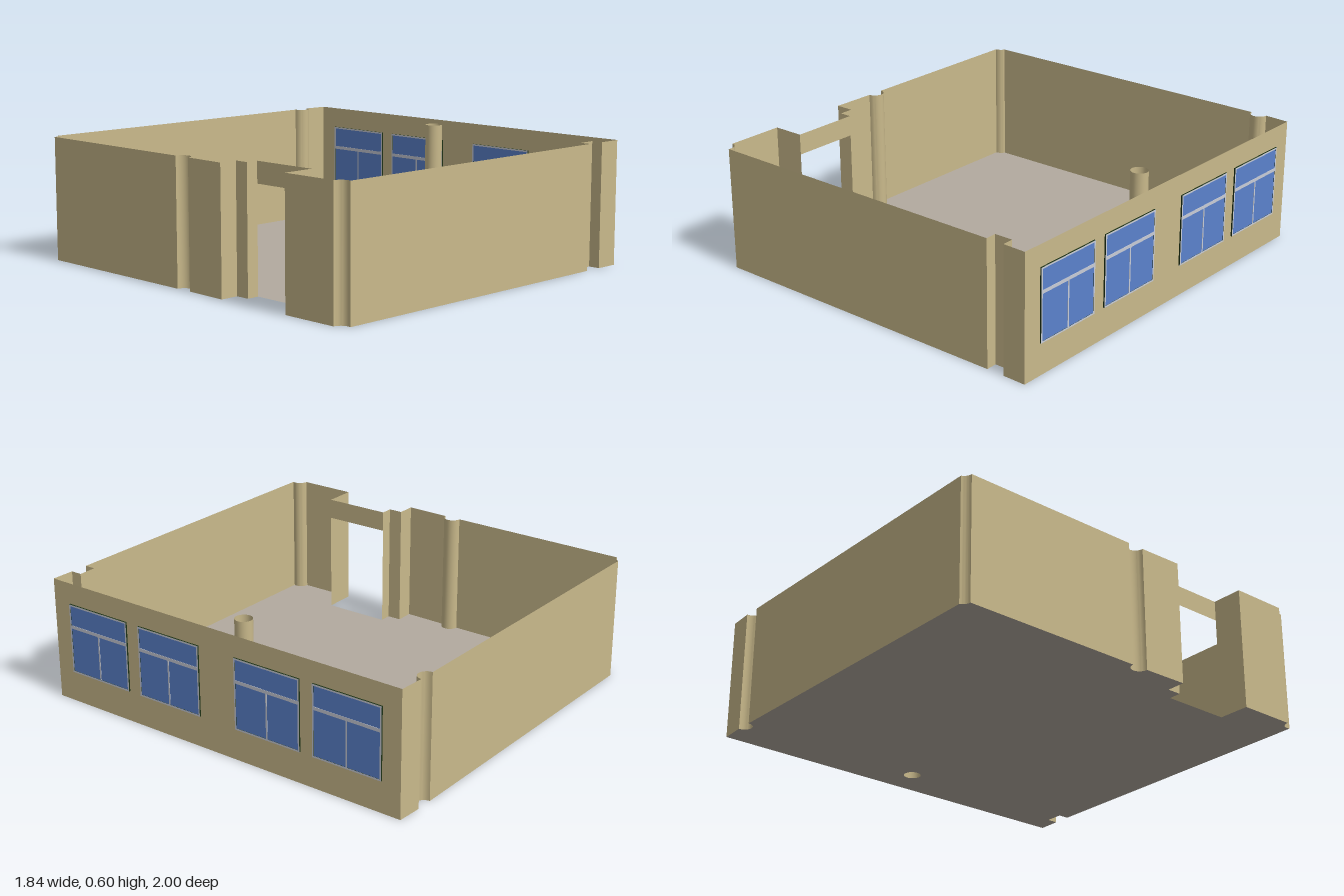
import * as THREE from 'three';
import { toCreasedNormals } from 'three/addons/utils/BufferGeometryUtils.js';

const H = 0.6;          // wall height
const DOOR_TOP = 0.5;   // underside of the door header
const R = 0.042;        // column radius

const mat = (name, color, side = THREE.FrontSide) => {
  const m = new THREE.MeshStandardMaterial({ color, side });
  m.name = name;
  return m;
};

// points of an arc in plan, as [x, z]
function arc(cx, cz, a0, a1, n = 12) {
  return Array.from({ length: n + 1 }, (_, i) => {
    const a = a0 + (a1 - a0) * i / n;
    return [cx + R * Math.cos(a), cz + R * Math.sin(a)];
  });
}

export function createModel() {
  const group = new THREE.Group();
  const wallMat = mat('wall tan', 0xc9b98b, THREE.DoubleSide);
  const floorMat = mat('floor grey', 0xb2aa9f, THREE.DoubleSide);
  const glassMat = mat('window blue', 0x5b82cc);
  const frameMat = mat('frame pale', 0xc9cdd8);
  const edgeMat = mat('window edge dark green', 0x1c3014);

  const add = (parent, name, geometry, material) => {
    const mesh = new THREE.Mesh(geometry, material);
    mesh.name = name;
    parent.add(mesh);
    return mesh;
  };

  // room outline in plan, notched around columns and the entrance recess
  const P = Math.PI;
  const doorA = [-0.765, 0.635], doorB = [-0.765, 0.3];
  const outline = [
    ...arc(0.75, -0.988, P, 0),
    [0.915, -0.98], [0.895, 1],
    [0.78, 0.996], [0.78, 0.94], [0.69, 0.94], [0.69, 0.994],
    ...arc(-0.92, 0.96, 0.38, -P / 2),
    [-0.92, 0.635], doorA, doorB, [-0.825, 0.3], [-0.825, 0.23], [-0.915, 0.23],
    ...arc(-0.91, -0.03, P / 2, -P / 2),
    ...arc(-0.905, -1.015, P / 2, 0.38),
  ];

  // floor with a hole for the free-standing column
  const columnX = 0.735, columnZ = -0.01;
  const floor = new THREE.Shape(outline.map(([x, z]) => new THREE.Vector2(x, -z)));
  const hole = new THREE.Path();
  hole.absarc(columnX, -columnZ, R, 0, 2 * P, true);
  floor.holes.push(hole);
  add(group, 'floor', new THREE.ShapeGeometry(floor, 12).rotateX(-P / 2), floorMat);

  // walls: one upright panel per outline edge, only a header above the door
  const pos = [];
  outline.forEach((a, i) => {
    const b = outline[(i + 1) % outline.length];
    const y0 = a === doorA ? DOOR_TOP : 0;
    const [ax, az] = a, [bx, bz] = b;
    pos.push(ax, y0, az, ax, H, az, bx, H, bz, ax, y0, az, bx, H, bz, bx, y0, bz);
  });
  const walls = new THREE.BufferGeometry();
  walls.setAttribute('position', new THREE.Float32BufferAttribute(pos, 3));
  walls.computeVertexNormals();
  add(group, 'walls', toCreasedNormals(walls, 0.5), wallMat);

  // free-standing open column
  add(group, 'column', new THREE.CylinderGeometry(R, R, H, 24, 1, true), wallMat)
    .position.set(columnX, H / 2, columnZ);

  // windows straddling the side wall, so they show inside and out
  const W = 0.36, WH = 0.345, T = 0.008;
  const edged = face => [face, face, edgeMat, edgeMat, edgeMat, edgeMat];
  [0.722, 0.29, -0.275, -0.705].forEach(z => {
    const win = new THREE.Group();
    win.name = 'window';
    add(win, 'pane', new THREE.BoxGeometry(0.012, WH, W), edged(glassMat));
    const bar = (name, h, w, y, zz, material) =>
      add(win, name, new THREE.BoxGeometry(0.015, h, w), material).position.set(0, y, zz);
    for (const s of [-1, 1]) {
      bar('frameRail', T, W, s * (WH - T) / 2, 0, edged(frameMat));
      bar('frameStile', WH, T, 0, s * (W - T) / 2, edged(frameMat));
    }
    bar('transom', 0.016, W - 2 * T, 0.06, 0, frameMat);
    bar('mullion', 0.224, T, -0.06, 0, frameMat);
    win.position.set(0.905 - 0.0101 * (z - 0.01), 0.325, z);
    win.rotation.y = -0.0101;
    group.add(win);
  });
  return group;
}
